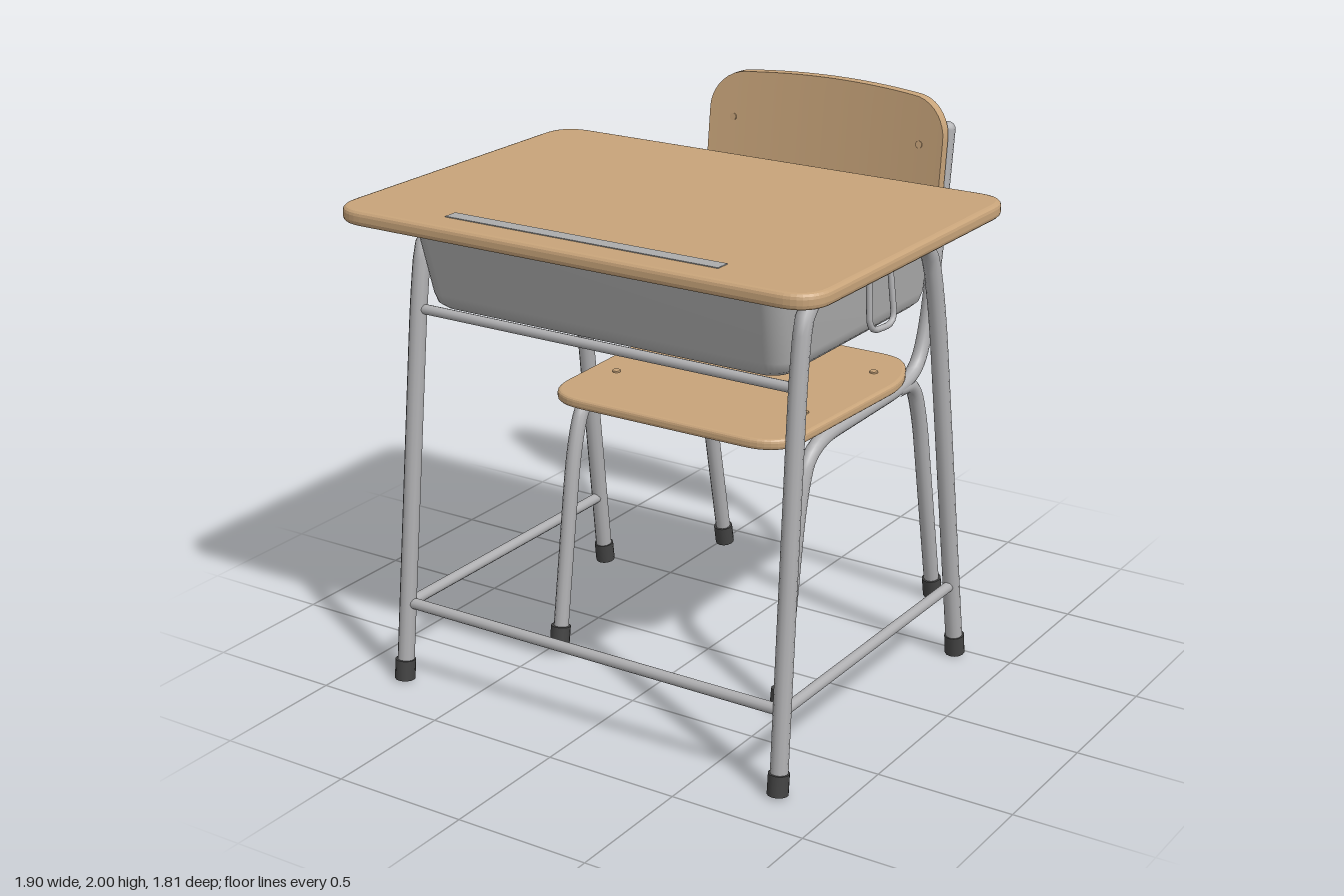
import * as THREE from 'three';

const mat = (name, color) => Object.assign(new THREE.MeshStandardMaterial({ color }), { name });
const V = (x, y, z) => new THREE.Vector3(x, y, z);

export function createModel() {
  const wood = mat('wood', 0xc8a47a);
  const steel = mat('tubeSteel', 0xb0b0b2);
  const sheet = mat('trayGrey', 0xacacac);
  const rubber = mat('rubber', 0x444444);
  sheet.side = THREE.DoubleSide;

  const model = new THREE.Group();
  const desk = new THREE.Group(), chair = new THREE.Group();
  desk.name = 'desk';
  chair.name = 'chair';
  model.add(desk, chair);

  const add = (parent, name, geo, material, x = 0, y = 0, z = 0) => {
    const m = new THREE.Mesh(geo, material);
    m.name = name;
    m.position.set(x, y, z);
    parent.add(m);
    return m;
  };

  // Pipe through corner points, each corner rounded by its bend length
  const pipe = (parent, name, pts, r, bend = 0.15, seg = 72) => {
    const path = new THREE.CurvePath();
    let from = pts[0];
    for (let i = 1; i < pts.length - 1; i++) {
      const p = pts[i];
      const cut = (q) => {
        const d = q.clone().sub(p);
        return p.clone().addScaledVector(d.clone().normalize(), Math.min(bend, d.length() * 0.48));
      };
      const a = cut(pts[i - 1]), b = cut(pts[i + 1]);
      path.add(new THREE.LineCurve3(from, a));
      path.add(new THREE.QuadraticBezierCurve3(a, p, b));
      from = b;
    }
    path.add(new THREE.LineCurve3(from, pts[pts.length - 1]));
    return add(parent, name, new THREE.TubeGeometry(path, pts.length > 2 ? seg : 1, r, 12), steel);
  };

  // Horizontal board with rounded corners and softened rim; points are [x, z, cornerRadius]
  const board = (parent, name, pts, y0, y1, bevel, material) => {
    const s = new THREE.Shape();
    const n = pts.length;
    pts.forEach(([x, z, r], i) => {
      const p = new THREE.Vector2(x, -z);
      const toward = ([qx, qz]) => p.clone().add(new THREE.Vector2(qx, -qz).sub(p).setLength(r));
      const a = toward(pts[(i + n - 1) % n]), b = toward(pts[(i + 1) % n]);
      if (i === 0) s.moveTo(a.x, a.y);
      else s.lineTo(a.x, a.y);
      s.quadraticCurveTo(p.x, p.y, b.x, b.y);
    });
    s.closePath();
    const geo = new THREE.ExtrudeGeometry(s, {
      depth: y1 - y0 - 2 * bevel, bevelEnabled: bevel > 0, bevelSize: bevel, bevelOffset: -bevel,
      bevelThickness: bevel, bevelSegments: 3, curveSegments: 10,
    });
    geo.rotateX(-Math.PI / 2);
    return add(parent, name, geo, material, 0, y0 + bevel, 0);
  };

  const foot = (parent, x, z, lean) => {
    const f = add(parent, 'rubberFoot', new THREE.CylinderGeometry(0.037, 0.037, 0.076, 14), rubber, x, 0.041, z);
    f.rotation.x = lean;
  };

  // Desk top and pencil groove
  board(desk, 'deskTop', [[-0.95, 0.9, 0.13], [0.95, 0.9, 0.13], [0.95, -0.455, 0.13], [-0.95, -0.455, 0.13]],
    1.72, 1.775, 0.018, wood);
  add(desk, 'pencilGroove', new THREE.BoxGeometry(1.08, 0.006, 0.055), sheet, 0.005, 1.775, 0.765);

  // Book tray: rounded rectangles stacked downward and closed by a floor
  const rings = [[1.722, 0.738, 0.75, -0.335], [1.45, 0.72, 0.685, -0.307], [1.415, 0.71, 0.675, -0.297],
    [1.398, 0.692, 0.655, -0.28], [1.393, 0.66, 0.625, -0.25]];
  const per = 28, pos = [], idx = [];
  rings.forEach(([y, hx, zf, zb], k) => {
    const r = 0.07, hz = (zf - zb) / 2, cz = (zf + zb) / 2;
    for (let i = 0; i < per; i++) {
      const q = Math.floor(i / 7), a = (q + (i % 7) / 6) * Math.PI / 2;
      const sx = q === 0 || q === 3 ? 1 : -1, sz = q < 2 ? 1 : -1;
      pos.push(sx * (hx - r) + r * Math.cos(a), y, cz + sz * (hz - r) + r * Math.sin(a));
      if (k) {
        const c = (k - 1) * per, j = (i + 1) % per;
        idx.push(c + i, c + j, c + per + i, c + j, c + per + j, c + per + i);
      }
    }
  });
  const last = (rings.length - 1) * per;
  for (let i = 1; i < per - 1; i++) idx.push(last, last + i, last + i + 1);
  const tray = new THREE.BufferGeometry();
  tray.setAttribute('position', new THREE.Float32BufferAttribute(pos, 3));
  tray.setIndex(idx);
  tray.computeVertexNormals();
  add(desk, 'bookTray', tray, sheet);

  for (const s of [1, -1]) {
    // Desk side frame: one arched pipe
    pipe(desk, 'deskSideFrame', [V(s * 0.79, 0.05, 0.8), V(s * 0.766, 1.45, 0.665), V(s * 0.764, 1.685, 0.62),
      V(s * 0.764, 1.69, -0.19), V(s * 0.766, 1.4, -0.275), V(s * 0.79, 0.05, -0.455)], 0.031, 0.2);
    foot(desk, s * 0.79, 0.803, -0.095);
    foot(desk, s * 0.79, -0.458, 0.13);
    pipe(desk, 'sideStretcher', [V(s * 0.785, 0.29, 0.77), V(s * 0.785, 0.29, -0.42)], 0.02);

    // Mounts joining frame and desk top
    for (const z of [0.6, -0.24]) {
      add(desk, 'frameMount', new THREE.CylinderGeometry(0.025, 0.02, 0.06, 10), steel, s * 0.765, 1.695, z);
    }
    // Bag hook
    pipe(desk, 'bagHook', [V(s * 0.745, 1.7, 0.185), V(s * 0.755, 1.43, 0.185), V(s * 0.775, 1.43, 0.05),
      V(s * 0.745, 1.69, 0.05)], 0.011, 0.05, 40);
  }
  pipe(desk, 'frontStretcher', [V(-0.785, 0.295, 0.775), V(0.785, 0.295, 0.775)], 0.02);
  pipe(desk, 'trayRail', [V(-0.765, 1.382, 0.67), V(0.765, 1.382, 0.67)], 0.018);

  // Chair seat, tapered at the rear
  board(chair, 'seat', [[-0.5, 0.32, 0.16], [0.5, 0.32, 0.16], [0.53, -0.5, 0.1], [0.42, -0.715, 0.1],
    [-0.42, -0.715, 0.1], [-0.53, -0.5, 0.1]], 0.978, 1.017, 0.013, wood);

  // Backrest: box bent around the sitter, leaning back, with rounded corners
  const back = new THREE.BoxGeometry(2, 1, 1, 36, 8, 1);
  const p = back.attributes.position;
  const inset = (x, r) => {
    const d = Math.max(0, Math.abs(x) - (0.5 - r));
    return r - Math.sqrt(Math.max(0, r * r - d * d));
  };
  for (let i = 0; i < p.count; i++) {
    const x = 0.5 * Math.sin(p.getX(i) * Math.PI / 2);
    const lo = 1.445 + inset(x, 0.09), hi = 2 - 0.03 * (x / 0.5) ** 2 - inset(x, 0.13);
    const y = lo + (hi - lo) * (p.getY(i) + 0.5);
    p.setXYZ(i, x, y, -0.798 - 0.12 * (y - 1.445) + 0.03 * (x / 0.5) ** 2 + p.getZ(i) * 0.042);
  }
  back.computeVertexNormals();
  add(chair, 'backrest', back, wood);

  for (const s of [1, -1]) {
    const x = s * 0.48;
    // Front leg, seat rail and back upright in one pipe
    pipe(chair, 'chairSideFrame', [V(x, 0.05, 0.272), V(x, 0.76, 0.165), V(x, 0.945, 0.09), V(x, 0.957, -0.62),
      V(x, 1.05, -0.73), V(x, 1.4, -0.805), V(x, 1.865, -0.872)], 0.028, 0.17, 96);
    add(chair, 'uprightCap', new THREE.SphereGeometry(0.028, 12, 8), steel, x, 1.865, -0.872);
    pipe(chair, 'chairRearLeg', [V(x, 0.955, -0.53), V(x, 0.945, -0.66), V(x, 0.78, -0.72), V(x, 0.05, -0.865)],
      0.029, 0.1, 48);
    foot(chair, x, 0.275, -0.15);
    foot(chair, x, -0.867, 0.19);

    // Screw heads on seat and backrest
    for (const z of [0.0, -0.5]) {
      add(chair, 'seatScrew', new THREE.CylinderGeometry(0.016, 0.016, 0.008, 10), wood, s * 0.4, 1.019, z);
    }
    for (const [y, z] of [[1.81, -0.801], [1.6, -0.776]]) {
      const screw = add(chair, 'backScrew', new THREE.CylinderGeometry(0.014, 0.014, 0.008, 10), wood, s * 0.4, y, z);
      screw.rotation.x = Math.PI / 2 - 0.12;
    }
  }
  return model;
}
